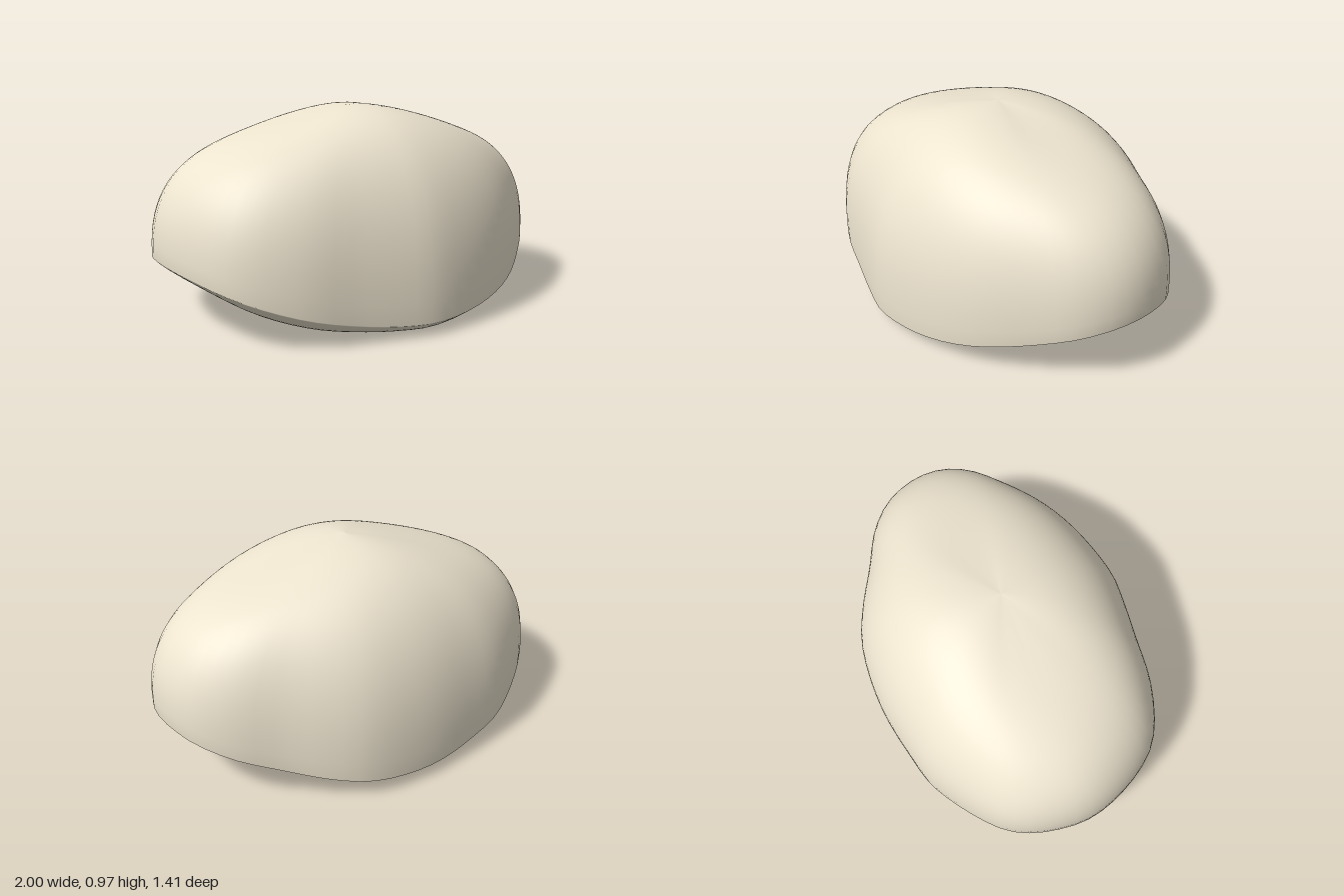
import * as THREE from 'three';

const AROUND = 72, UPPER = 28, LOWER = 24;

// Plan outline of the shell, as [x, z]
const OUTLINE = [
  [1, 0], [0.98, 0.13], [0.91, 0.26], [0.8, 0.365], [0.6, 0.52], [0.45, 0.6], [0.25, 0.665],
  [0, 0.7], [-0.15, 0.675], [-0.35, 0.63], [-0.6, 0.57], [-0.83, 0.43], [-0.95, 0.22],
  [-1, 0], [-0.98, -0.16], [-0.92, -0.32], [-0.83, -0.43], [-0.5, -0.63], [-0.3, -0.675],
  [0, -0.71], [0.3, -0.675], [0.46, -0.6], [0.64, -0.48], [0.82, -0.37], [0.93, -0.25], [0.98, -0.13],
];

const rimHeight = (x) => 0.065 + 0.25 * x * x;

// Hollow underside: a valley along x that falls to a lip at the front and back
function undersideHeight(x, z) {
  const ceiling = 0.35 - 0.14 * x * x;
  const side = Math.sin((Math.PI / 2) * Math.min(1, Math.abs(z) / 0.57)) ** 0.8;
  const reach = Math.max(0, 1 - (x > 0 ? 1.6 : 1) * x * x);
  return ceiling - 0.345 * reach * side;
}

function shellGeometry() {
  const curve = new THREE.CatmullRomCurve3(
    OUTLINE.map(([x, z]) => new THREE.Vector3(x, 0, z)), true, 'centripetal');
  const rim = curve.getSpacedPoints(AROUND).slice(0, AROUND);
  const positions = [], indices = [];

  // Domed top: steep walls, shoulders sloping to the ends, rounder plan higher up
  for (let i = 0; i <= UPPER; i++) {
    const t = (Math.PI / 2) * (i / UPPER);
    for (const r of rim) {
      const power = 2 / (2.5 - 0.1 * r.x * r.x);
      const s = Math.sin(t) ** power;
      const up = Math.max(0, Math.cos(t)) ** power;
      const base = rimHeight(r.x);
      const slope = 0.055 * r.x * r.x * Math.max(0, Math.sin(Math.PI * s)) ** 1.3;
      const toEllipse = 1 / Math.hypot(r.x, r.z / 0.7);
      const scale = s * THREE.MathUtils.lerp(toEllipse, 1, s * s);
      positions.push(r.x * scale, base + (0.98 - base) * up - slope, r.z * scale);
    }
  }
  // Underside, from the rounded rim to the middle
  for (let i = 1; i <= LOWER; i++) {
    const s = 1 - (i / LOWER) ** 1.5;
    const blend = THREE.MathUtils.clamp((s - 0.8) / 0.2, 0, 1) ** 2;
    for (const r of rim) {
      const x = r.x * s, z = r.z * s;
      const y = THREE.MathUtils.lerp(undersideHeight(x, z), rimHeight(r.x), blend);
      positions.push(x, y, z);
    }
  }
  for (let i = 0; i < UPPER + LOWER; i++) {
    for (let j = 0; j < AROUND; j++) {
      const a = i * AROUND + j, b = i * AROUND + ((j + 1) % AROUND);
      const c = a + AROUND, d = b + AROUND;
      indices.push(a, b, c, b, d, c);
    }
  }
  const geometry = new THREE.BufferGeometry();
  geometry.setAttribute('position', new THREE.Float32BufferAttribute(positions, 3));
  geometry.setIndex(indices);
  geometry.computeVertexNormals();
  return geometry;
}

// Thin V-shaped block opening towards +x, hanging from the ceiling
function toothGeometry(height) {
  const half = [[0, 0.025], [0.15, 0.15], [0.13, 0.17], [-0.03, 0.03]];
  const mirrored = half.map(([x, z]) => [x, -z]).reverse();
  const shape = new THREE.Shape(
    [...half, ...mirrored].map(([x, z]) => new THREE.Vector2(x, z)));
  const geometry = new THREE.ExtrudeGeometry(shape, { depth: height, bevelEnabled: false });
  geometry.rotateX(-Math.PI / 2);
  return geometry;
}

export function createModel() {
  const model = new THREE.Group();

  const shell = new THREE.Mesh(shellGeometry(),
    new THREE.MeshStandardMaterial({ color: 0xede4cf }));
  shell.name = 'shell';
  model.add(shell);

  // Row of blocks under the shell, stepping down towards -x
  const red = new THREE.MeshStandardMaterial({ color: 0x8a5148 });
  const teeth = new THREE.Group();
  teeth.name = 'undersideTeeth';
  [[0.17, 0.18], [-0.17, 0.13], [-0.5, 0.12]].forEach(([x, bottom], i) => {
    const tooth = new THREE.Mesh(toothGeometry(0.38 - bottom), red);
    tooth.name = `tooth${i + 1}`;
    tooth.position.set(x, bottom, 0);
    teeth.add(tooth);
  });
  model.add(teeth);
  return model;
}
